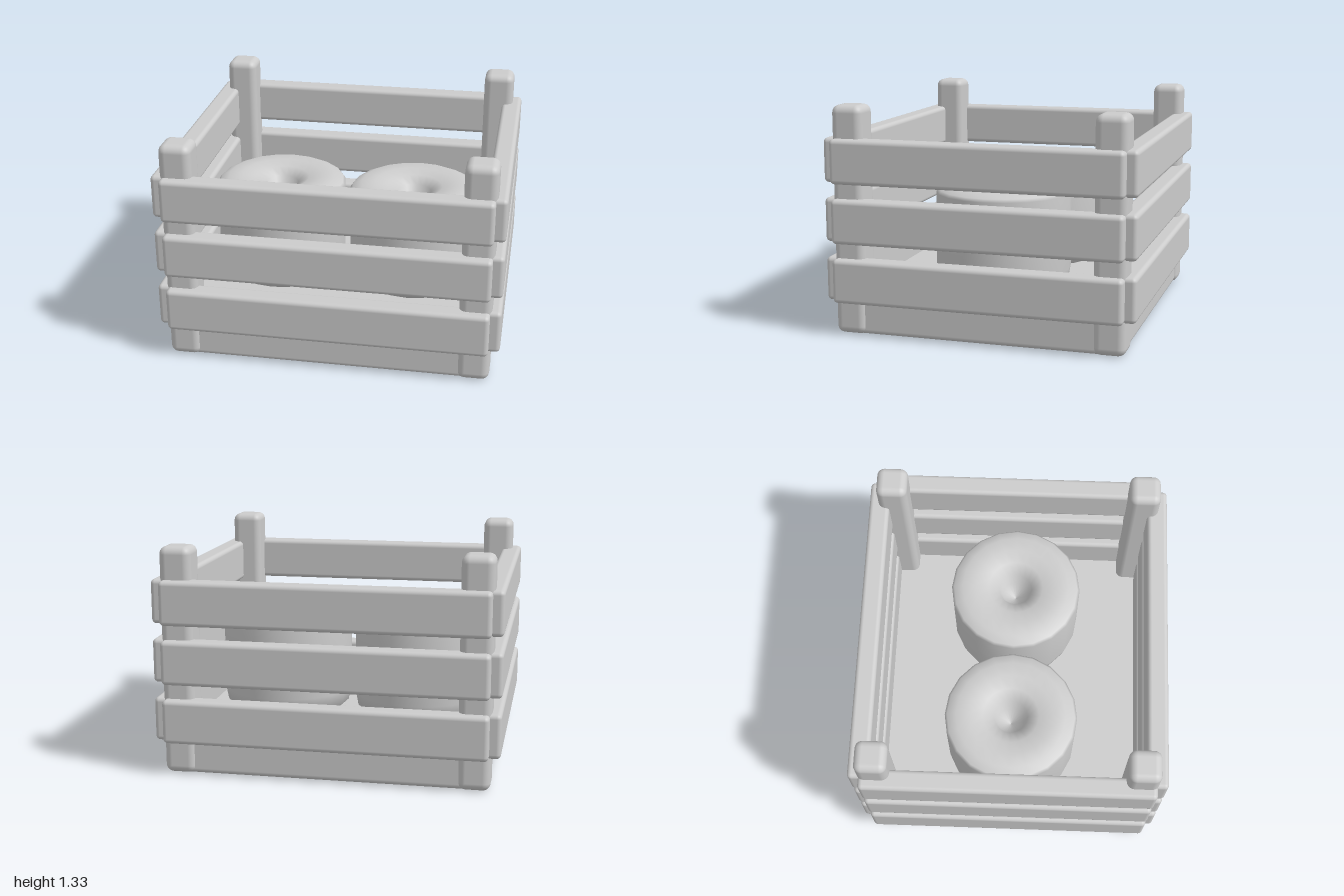
import * as THREE from 'three';
import { RoundedBoxGeometry } from 'three/addons/geometries/RoundedBoxGeometry.js';

export function createModel() {
  const crate = new THREE.Group();
  crate.name = 'crate';
  const grey = new THREE.MeshStandardMaterial({ color: 0xcccccc });
  grey.name = 'light grey';

  const add = (name, geometry, x, y, z) => {
    const mesh = new THREE.Mesh(geometry, grey);
    mesh.name = name;
    mesh.position.set(x, y, z);
    crate.add(mesh);
  };

  // Thick base board
  add('base', new RoundedBoxGeometry(1.85, 0.22, 1.67, 2, 0.03), 0, 0.11, 0);

  // Corner posts
  const post = new RoundedBoxGeometry(0.186, 1.328, 0.186, 3, 0.045);
  for (const x of [-0.852, 0.852])
    for (const z of [-0.762, 0.762]) add('cornerPost', post, x, 0.664, z);

  // Three rows of slats on each wall
  const longSlat = new RoundedBoxGeometry(1.87, 0.257, 0.122, 3, 0.026);
  const sideSlat = new RoundedBoxGeometry(0.122, 0.257, 1.694, 3, 0.026);
  for (const y of [0.32, 0.667, 1.012])
    for (const s of [-1, 1]) {
      add(s > 0 ? 'frontSlat' : 'backSlat', longSlat, 0, y, s * 0.849);
      add('sideSlat', sideSlat, s * 0.938, y, 0);
    }

  // Round ring-shaped goods with a dimpled centre
  const profile = [
    [0, 0.2], [0.25, 0.2], [0.33, 0.21], [0.385, 0.26], [0.4, 0.34],
    [0.4, 0.55], [0.4, 0.79], [0.385, 0.808], [0.33, 0.835], [0.25, 0.835],
    [0.17, 0.82], [0.1, 0.785], [0.08, 0.7], [0, 0.64],
  ].map(([r, y]) => new THREE.Vector2(r, y));
  const ring = new THREE.LatheGeometry(profile, 20);
  add('rightRing', ring, -0.435, 0, 0);
  add('leftRing', ring, 0.4, 0, 0);

  return crate;
}
